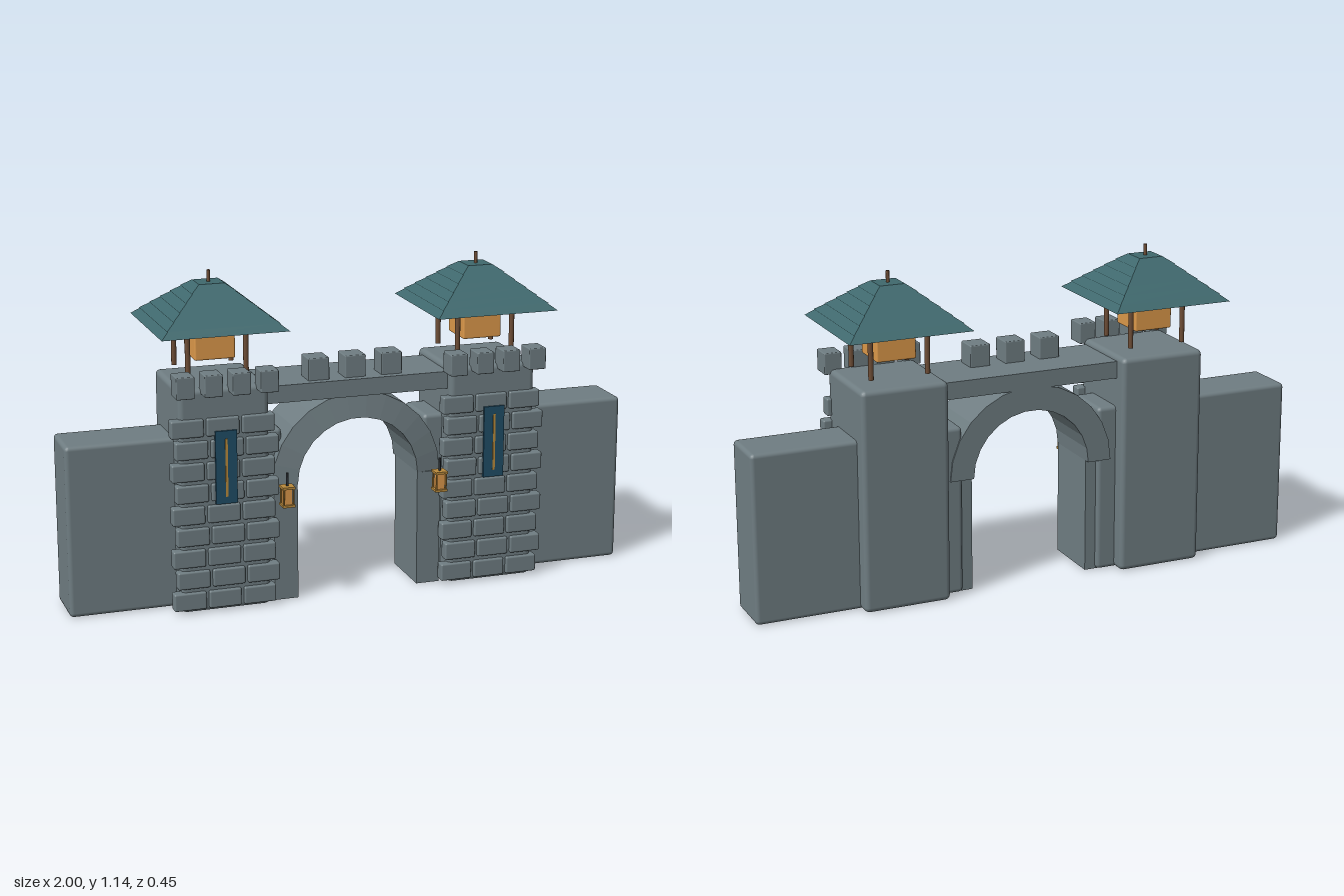
import * as THREE from 'three';
import { RoundedBoxGeometry } from 'three/addons/geometries/RoundedBoxGeometry.js';

const mat = (color, extra = {}) => new THREE.MeshStandardMaterial({ color, ...extra });
const stone = mat(0x6f7d82);
const archStone = mat(0x6f7d82, { flatShading: true, side: THREE.DoubleSide });
const roofTile = mat(0x3f686d, { flatShading: true });
const wood = mat(0x6e4d35);
const gold = mat(0xb98a3c);
const glow = mat(0xdd994a);
const cloth = mat(0x1f4d66);
const iron = mat(0x2b2f33);

function add(parent, name, geometry, material, x, y, z) {
  const mesh = new THREE.Mesh(geometry, material);
  mesh.name = name;
  mesh.position.set(x, y, z);
  parent.add(mesh);
  return mesh;
}

// Box given by its min and max on each axis, optionally with rounded edges
function box(parent, name, material, [x0, x1], [y0, y1], [z0, z1], r = 0) {
  const size = [x1 - x0, y1 - y0, z1 - z0];
  const geo = r ? new RoundedBoxGeometry(...size, 2, r) : new THREE.BoxGeometry(...size);
  return add(parent, name, geo, material, (x0 + x1) / 2, (y0 + y1) / 2, (z0 + z1) / 2);
}

function rod(parent, name, material, r, x, y0, y1, z) {
  return add(parent, name, new THREE.CylinderGeometry(r, r, y1 - y0, 10), material, x, (y0 + y1) / 2, z);
}

// Stepped pyramid roof: overlapping four-sided tiers
function makeRoof() {
  const roof = new THREE.Group();
  roof.name = 'roof';
  const tiers = 6, low = 0.217, high = 0.044, y0 = 0.958, h = 0.139 / tiers;
  for (let i = 0; i < tiers; i++) {
    const at = (t) => THREE.MathUtils.lerp(low, high, t / tiers) * Math.SQRT2;
    const lip = i ? 0.006 : 0;
    const tier = add(roof, 'roofTier', new THREE.CylinderGeometry(at(i + 1), at(i) + lip, h, 4),
      roofTile, 0, y0 + h * (i + 0.5), -0.005);
    tier.rotation.y = Math.PI / 4;
  }
  rod(roof, 'finial', wood, 0.006, 0, 1.09, 1.136, -0.005);
  return roof;
}

// Tower built around x = 0
function makeTower() {
  const tower = new THREE.Group();
  tower.name = 'tower';
  box(tower, 'towerBody', stone, [-0.155, 0.155], [0, 0.775], [-0.152, 0.168], 0.018);

  // Facing bricks, alternate rows shifted
  for (let row = 0; row < 9; row++) {
    const shift = row % 2 ? 0.007 : -0.007;
    for (let col = -1; col <= 1; col++) {
      const x = col * 0.122 + shift, y = 0.013 + row * 0.0752;
      box(tower, 'brick', stone, [x - 0.056, x + 0.056], [y, y + 0.061], [0.14, 0.181], 0.006);
    }
  }
  // Battlements
  for (let i = 0; i < 4; i++) {
    const x = (i - 1.5) * 0.0955;
    box(tower, 'merlon', stone, [x - 0.031, x + 0.031], [0.758, 0.833], [0.146, 0.221], 0.004);
  }
  // Banner
  box(tower, 'banner', cloth, [-0.037, 0.037], [0.38, 0.632], [0.178, 0.188]);
  box(tower, 'bannerStripe', gold, [-0.004, 0.004], [0.405, 0.605], [0.186, 0.191]);

  // Lookout
  for (const sx of [-1, 1])
    for (const sz of [-1, 1])
      rod(tower, 'roofPost', wood, 0.009, sx * 0.1, 0.797, 0.965, -0.005 + sz * 0.0925);
  box(tower, 'lightBox', glow, [-0.07, 0.07], [0.845, 0.928], [-0.075, 0.066], 0.006);
  tower.add(makeRoof());
  return tower;
}

function makeLantern() {
  const lantern = new THREE.Group();
  lantern.name = 'lantern';
  for (const y of [0.355, 0.418])
    box(lantern, 'lanternPlate', gold, [-0.022, 0.022], [y, y + 0.008], [-0.022, 0.022]);
  box(lantern, 'lanternGlass', glow, [-0.014, 0.014], [0.362, 0.42], [-0.014, 0.014]);
  for (const sx of [-1, 1])
    for (const sz of [-1, 1])
      rod(lantern, 'lanternBar', gold, 0.003, sx * 0.017, 0.36, 0.42, sz * 0.017);
  rod(lantern, 'lanternHook', iron, 0.004, 0, 0.425, 0.472, 0);
  return lantern;
}

export function createModel() {
  const gate = new THREE.Group();
  gate.name = 'gatehouse';

  for (const s of [-1, 1]) {
    const span = (a, b) => (s > 0 ? [a, b] : [-b, -a]);
    const tower = makeTower();
    tower.position.x = s * 0.478;
    gate.add(tower);
    box(gate, 'sideWall', stone, span(0.255, 1), [0, 0.595], [-0.1, 0.09], 0.015);
    box(gate, 'archPier', stone, span(0.216, 0.3), [0, 0.406], [-0.085, 0.138]);
    const lantern = makeLantern();
    lantern.position.set(s * 0.273, 0, 0.203);
    gate.add(lantern);
  }

  // Arch ring: closed profile swept through half a turn
  const profile = [[0.302, -0.105], [0.302, 0.125], [0.216, 0.14], [0.216, -0.105], [0.302, -0.105]]
    .map(([r, d]) => new THREE.Vector2(r, d));
  const arch = add(gate, 'archRing',
    new THREE.LatheGeometry(profile, 13, Math.PI / 2, Math.PI), archStone, 0, 0.406, 0);
  arch.rotation.x = Math.PI / 2;

  // Walkway above the arch with its battlements
  box(gate, 'walkway', stone, [-0.33, 0.33], [0.697, 0.757], [-0.105, 0.14]);
  for (const x of [-0.13, 0, 0.13])
    box(gate, 'walkwayMerlon', stone, [x - 0.037, x + 0.037], [0.75, 0.833], [0.031, 0.112], 0.004);

  return gate;
}
